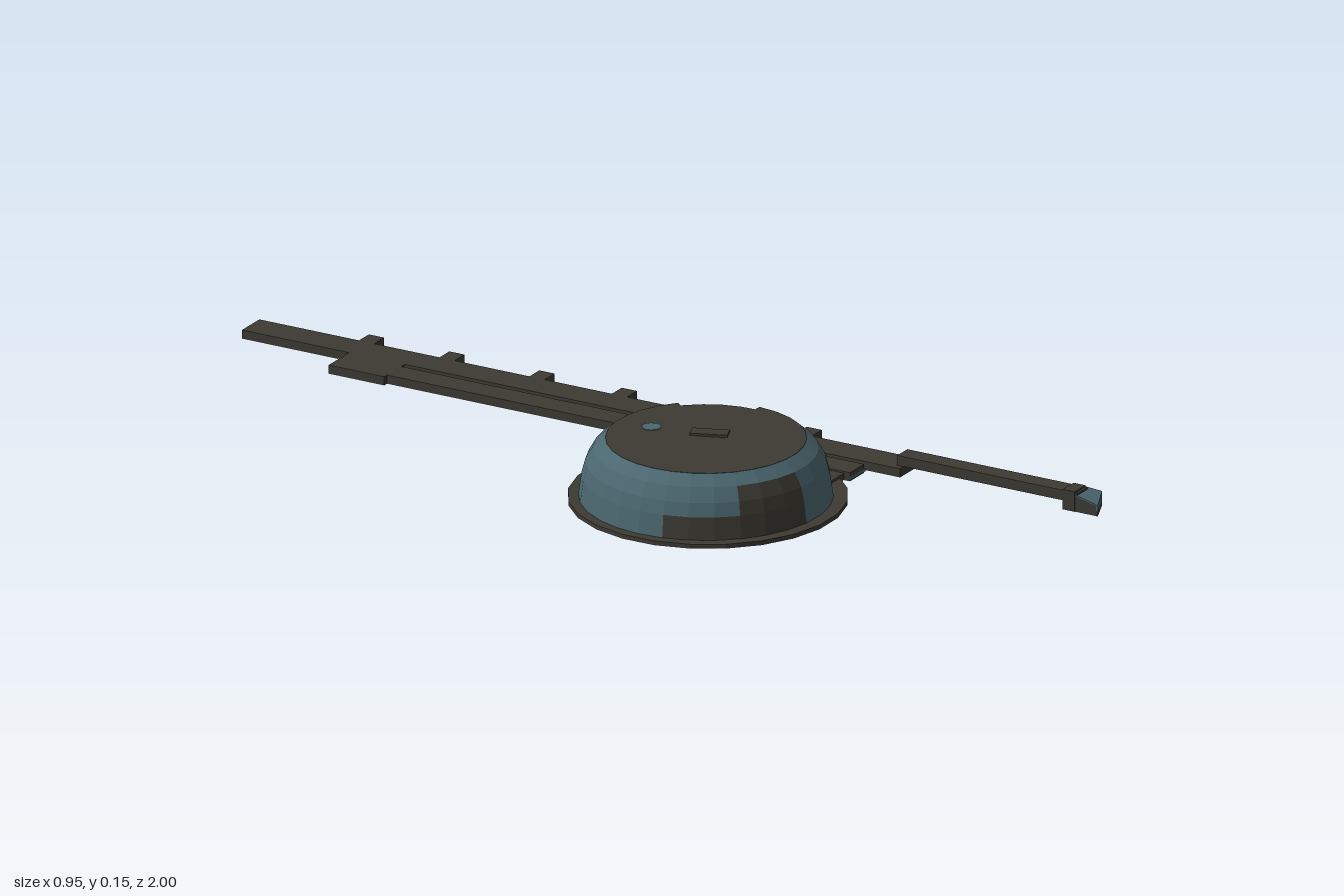
import * as THREE from 'three';

const mat = (name, color) => Object.assign(new THREE.MeshStandardMaterial({ color }), { name });

export function createModel() {
  const dark = mat('dark olive', 0x3c3a32);
  const blue = mat('slate blue', 0x4a666f);
  const grey = mat('underside grey', 0xd6d6d6);
  const model = new THREE.Group();
  model.name = 'drumAndRail';

  const add = (parent, name, geo, material, x = 0, y = 0, z = 0) => {
    const flat = geo.index ? geo.toNonIndexed() : geo;
    flat.computeVertexNormals();
    const m = new THREE.Mesh(flat, material);
    m.name = name;
    m.position.set(x, y, z);
    parent.add(m);
    return m;
  };
  // box given by its limits
  const block = (parent, name, material, x0, x1, y0, y1, z0, z1) =>
    add(parent, name, new THREE.BoxGeometry(x1 - x0, y1 - y0, z1 - z0), material,
      (x0 + x1) / 2, (y0 + y1) / 2, (z0 + z1) / 2);
  const SKIN = 0.0008;
  // dark box standing on the ground with a pale underside
  const plate = (parent, name, x0, x1, top, z0, z1) => {
    block(parent, name, dark, x0, x1, SKIN, top, z0, z1);
    block(parent, name + 'Underside', grey, x0, x1, 0, SKIN, z0, z1);
  };

  // ---- rail assembly, long axis along its own z
  const rail = new THREE.Group();
  rail.name = 'railAssembly';
  rail.rotation.y = 0.381;
  model.add(rail);

  plate(rail, 'mainRail', 0.01, 0.084, 0.02, -1.044, 0.601);
  plate(rail, 'sideRail', -0.065, -0.005, 0.02, -0.637, 0.52);
  plate(rail, 'railBridge', -0.077, 0.01, 0.02, -0.776, -0.637);
  plate(rail, 'drumBracket', -0.2, -0.065, 0.016, 0.06, 0.505);
  for (const z of [-0.776, -0.575, -0.35, -0.144, 0.073, 0.318])
    plate(rail, 'railTab', 0.084, 0.126, 0.02, z - 0.019, z + 0.019);
  block(rail, 'bracketEndPlate', blue, -0.065, -0.005, 0.004, 0.011, 0.52, 0.523);

  // channel-shaped arm
  block(rail, 'armTop', dark, 0.025, 0.068, 0.037, 0.043, 0.585, 1.035);
  for (const x of [0.025, 0.063])
    block(rail, 'armSide', dark, x, x + 0.005, 0.02, 0.037, 0.585, 1.035);
  block(rail, 'armRoot', dark, 0.03, 0.063, 0.02, 0.037, 0.585, 0.601);

  // foot: outlines in x,z whose top slopes down towards the tip
  const footTop = z => 0.045 - (z - 1.005) * 0.24;
  const footPart = (name, material, pts, low, high) => {
    const s = new THREE.Shape(pts.map(([x, z]) => new THREE.Vector2(x, -z)));
    const g = new THREE.ExtrudeGeometry(s, { depth: 1, bevelEnabled: false });
    g.rotateX(-Math.PI / 2);
    const p = g.attributes.position;
    for (let i = 0; i < p.count; i++) p.setY(i, (p.getY(i) > 0.5 ? high : low)(p.getZ(i)));
    add(rail, name, g, material);
  };
  const foot = [[0.024, 1.03], [0.07, 1.005], [0.088, 1.056], [0.024, 1.082]];
  const tip = [[0.024, 1.082], [0.088, 1.056], [0.088, 1.06], [0.024, 1.087]];
  footPart('footUnderside', grey, foot, () => 0, () => SKIN);
  footPart('footBody', dark, foot, () => SKIN, z => footTop(z) - 0.003);
  footPart('footTopPlate', blue, foot, z => footTop(z) - 0.003, footTop);
  footPart('footTipSill', dark, tip, () => 0, () => 0.012);
  footPart('footTipPlate', blue, tip, () => 0.012, footTop);
  block(rail, 'footPost', dark, 0.023, 0.069, 0, 0.046, 1.0, 1.03);

  // ---- drum
  const drum = new THREE.Group();
  drum.name = 'drum';
  drum.position.set(-0.178, 0, 0.403);
  model.add(drum);
  const turn = Math.PI * 2;
  const cyl = (name, material, r, y0, y1, from = 0, span = turn, n = 30) =>
    add(drum, name, new THREE.CylinderGeometry(r, r, y1 - y0, n, 1, false, from, span), material, 0, (y0 + y1) / 2, 0);
  const flange = cyl('flange', dark, 0.303, SKIN, 0.01, 0, turn, 24);
  const flangeBottom = cyl('flangeUnderside', grey, 0.303, 0, SKIN, 0, turn, 24);
  flange.position.x = flangeBottom.position.x = 0.005;

  // domed wall in rows of 30 facets; each row is split at whole facets
  const profile = [[0.275, 0.01], [0.268, 0.06], [0.26, 0.09], [0.243, 0.12], [0.217, 0.142]]
    .map(([r, y]) => new THREE.Vector2(r, y));
  const N = 30, step = turn / N;
  const angle = k => 0.25 + k * step; // 0 faces the front
  const cutA = 8, cutB = 12;
  const rows = [
    { patch: -6, back: [7, 12] },
    { patch: -3, back: [7, 13] },
    { patch: -3, back: [6, 14] },
    { patch: 0, back: [5, 15] },
  ];
  rows.forEach(({ patch, back }, i) => {
    const arc = (name, material, a, b) => b > a && add(drum, name, new THREE.LatheGeometry(
      [profile[i], profile[i + 1]], b - a, angle(a), (b - a) * step), material);
    arc('wall', blue, back[1] - N, patch);
    arc('frontPatch', dark, patch, 0);
    arc('wall', blue, 0, back[0]);
    if (i === 0) arc('backWall', dark, back[0], back[1]);
    else {
      arc('backWall', dark, back[0], cutA);
      arc('backWall', dark, cutB, back[1]);
    }
  });

  // recess in the back wall: floor, inner wall and two cheeks
  const cutSpan = (cutB - cutA) * step;
  cyl('recessFloor', dark, 0.268, 0.05, 0.06, angle(cutA), cutSpan, 4);
  cyl('recessInnerWall', dark, 0.2, 0.06, 0.142);
  const cheek = new THREE.Shape([new THREE.Vector2(0.19, 0.06), ...profile.slice(1), new THREE.Vector2(0.19, 0.142)]);
  [cutA, cutB].forEach((k, i) => {
    const g = new THREE.ExtrudeGeometry(cheek, { depth: 0.004, bevelEnabled: false });
    g.translate(0, 0, i ? -0.004 : 0);
    add(drum, 'recessCheek', g, dark).rotation.y = angle(k) - Math.PI / 2;
  });
  // stop block with a coloured cap
  const mid = 2.31;
  for (const [name, material, h, y] of [['recessStop', dark, 0.018, 0.069], ['recessStopCap', blue, 0.006, 0.081]])
    add(drum, name, new THREE.BoxGeometry(0.05, h, 0.036), material,
      Math.sin(mid) * 0.236, y, Math.cos(mid) * 0.236).rotation.y = mid;

  // lid with its half disc, handle and marker
  cyl('lid', dark, 0.217, 0.137, 0.1425, angle(cutB), turn - cutSpan, N - 4);
  cyl('lidCore', dark, 0.2, 0.137, 0.1425);
  cyl('lidHalfDisc', dark, 0.075, 0.1425, 0.1435, 0.8, Math.PI, 12);
  const handle = add(drum, 'lidHandle', new THREE.BoxGeometry(0.034, 0.007, 0.082), dark, 0.018, 0.1455, -0.01);
  handle.rotation.y = 0.75;
  add(drum, 'lidMarker', new THREE.CylinderGeometry(0.022, 0.022, 0.002, 10), blue, -0.054, 0.1428, -0.122);

  return model;
}
